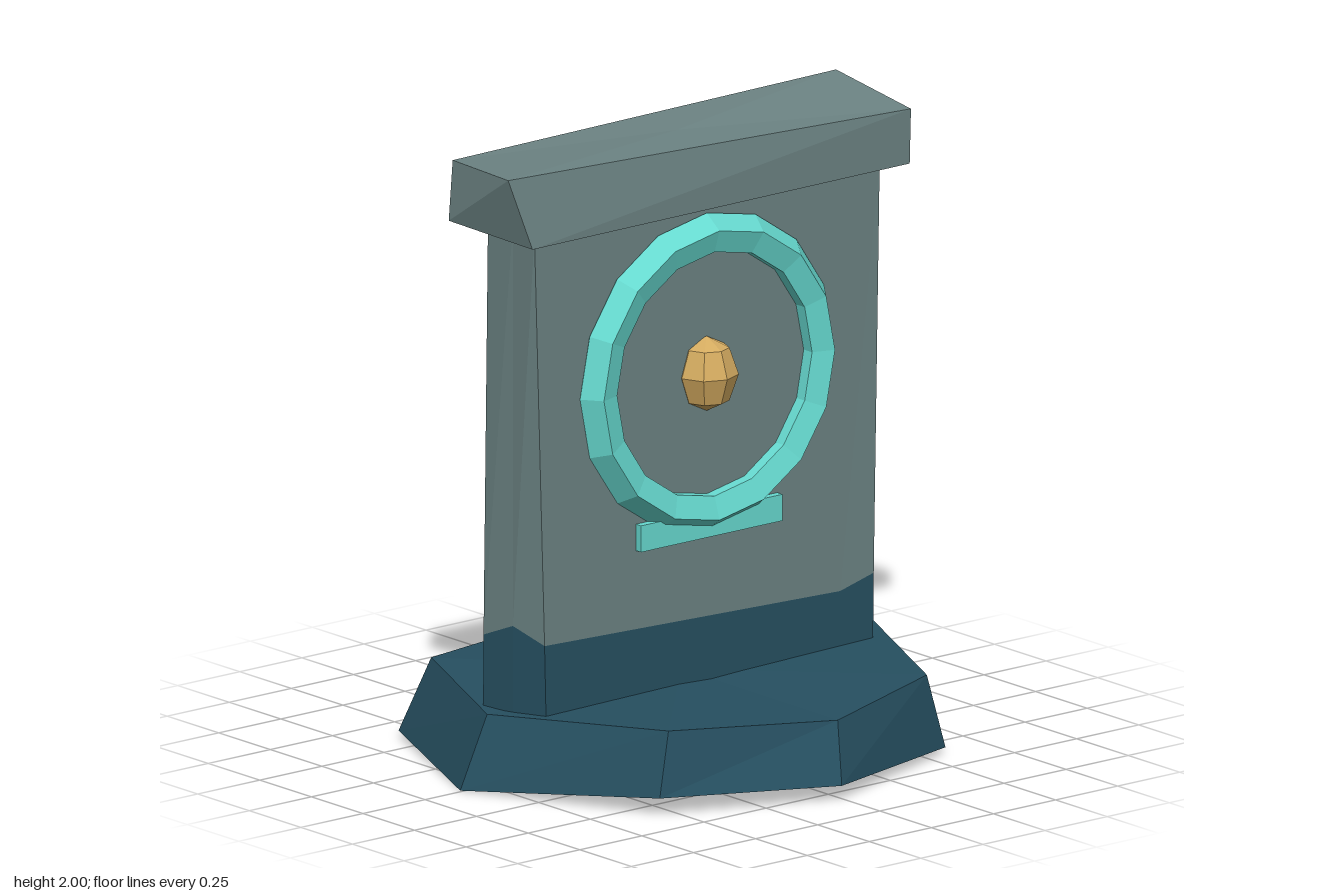
import * as THREE from 'three';

const mat = (name, color) => {
  const m = new THREE.MeshStandardMaterial({ color, flatShading: true });
  m.name = name;
  return m;
};

// Flat-faced solid through rings of [x, y, z] points, bottom to top,
// each ring running anticlockwise as seen from above.
function loft(rings) {
  const pos = [];
  const tri = (...pts) => pts.forEach((p) => pos.push(...p));
  const n = rings[0].length;
  const middle = (ring) => [0, 1, 2].map((k) => ring.reduce((s, p) => s + p[k], 0) / n);
  const low = rings[0], high = rings[rings.length - 1];
  const lowMid = middle(low), highMid = middle(high);
  for (let i = 0; i < n; i++) {
    const j = (i + 1) % n;
    for (let r = 0; r + 1 < rings.length; r++) {
      const a = rings[r], b = rings[r + 1];
      tri(a[i], a[j], b[j]);
      tri(a[i], b[j], b[i]);
    }
    tri(lowMid, low[j], low[i]);
    tri(highMid, high[i], high[j]);
  }
  const g = new THREE.BufferGeometry();
  g.setAttribute('position', new THREE.Float32BufferAttribute(pos, 3));
  g.computeVertexNormals();
  return g;
}

export function createModel() {
  const stone = mat('grey stone', 0x6b8282);
  const slate = mat('dark blue slate', 0x264f60);
  const teal = mat('bright teal', 0x66d9cf);
  const gold = mat('gold', 0xd4ab60);

  const group = new THREE.Group();
  const add = (name, geometry, material, x = 0, y = 0, z = 0) => {
    const mesh = new THREE.Mesh(geometry, material);
    mesh.name = name;
    mesh.position.set(x, y, z);
    group.add(mesh);
    return mesh;
  };

  // Uneven eight-sided plinth
  add('plinth', loft([
    [[-0.57, 0.06, 0.62], [-0.02, 0.05, 0.84], [0.58, 0.02, 0.62], [0.85, 0.06, -0.01],
      [0.58, 0.01, -0.58], [0.03, 0.02, -0.85], [-0.6, 0.02, -0.61], [-0.85, 0, -0.01]],
    [[-0.51, 0.26, 0.59], [0.03, 0.235, 0.76], [0.53, 0.255, 0.59], [0.8, 0.26, 0],
      [0.53, 0.235, -0.51], [0.03, 0.215, -0.73], [-0.51, 0.25, -0.56], [-0.75, 0.23, 0]],
  ]), slate);

  // Upright slab, with its dark foot ending in an uneven line
  const foot = [[-0.645, 0.2, 0.16], [0.54, 0.2, 0.16], [0.67, 0.2, 0.16], [0.67, 0.2, -0.03],
    [0.67, 0.2, -0.08], [-0.54, 0.2, -0.08], [-0.7, 0.2, -0.08], [-0.68, 0.2, 0.04]];
  const line = [[-0.65, 0.465, 0.158], [0.54, 0.43, 0.158], [0.675, 0.465, 0.158], [0.675, 0.51, -0.03],
    [0.675, 0.45, -0.08], [-0.54, 0.43, -0.08], [-0.698, 0.46, -0.08], [-0.68, 0.51, 0.04]];
  const head = [[-0.68, 1.79, 0.145], [0.54, 1.79, 0.145], [0.71, 1.79, 0.145], [0.71, 1.79, -0.03],
    [0.71, 1.79, -0.08], [-0.54, 1.79, -0.08], [-0.68, 1.79, -0.08], [-0.68, 1.79, 0.04]];
  add('slabFoot', loft([foot, line]), slate);
  add('slab', loft([line, head]), stone);

  // Crooked capstone
  add('capstone', loft([
    [[-0.725, 1.76, 0.19], [0.785, 1.77, 0.2], [0.8, 1.785, -0.15], [-0.78, 1.79, -0.15]],
    [[-0.79, 1.985, 0.15], [0.79, 1.945, 0.2], [0.775, 2, -0.145], [-0.76, 1.98, -0.155]],
  ]), stone);

  // Ring, its ledge and the central boss on the front
  add('ring', new THREE.TorusGeometry(0.445, 0.065, 5, 16), teal, 0.007, 1.23, 0.153);
  add('ledge', new THREE.BoxGeometry(0.57, 0.085, 0.08), teal, 0.005, 0.748, 0.14);
  add('boss', new THREE.SphereGeometry(0.1, 8, 4), gold, 0.005, 1.225, 0.155).scale.y = 1.2;

  return group;
}
